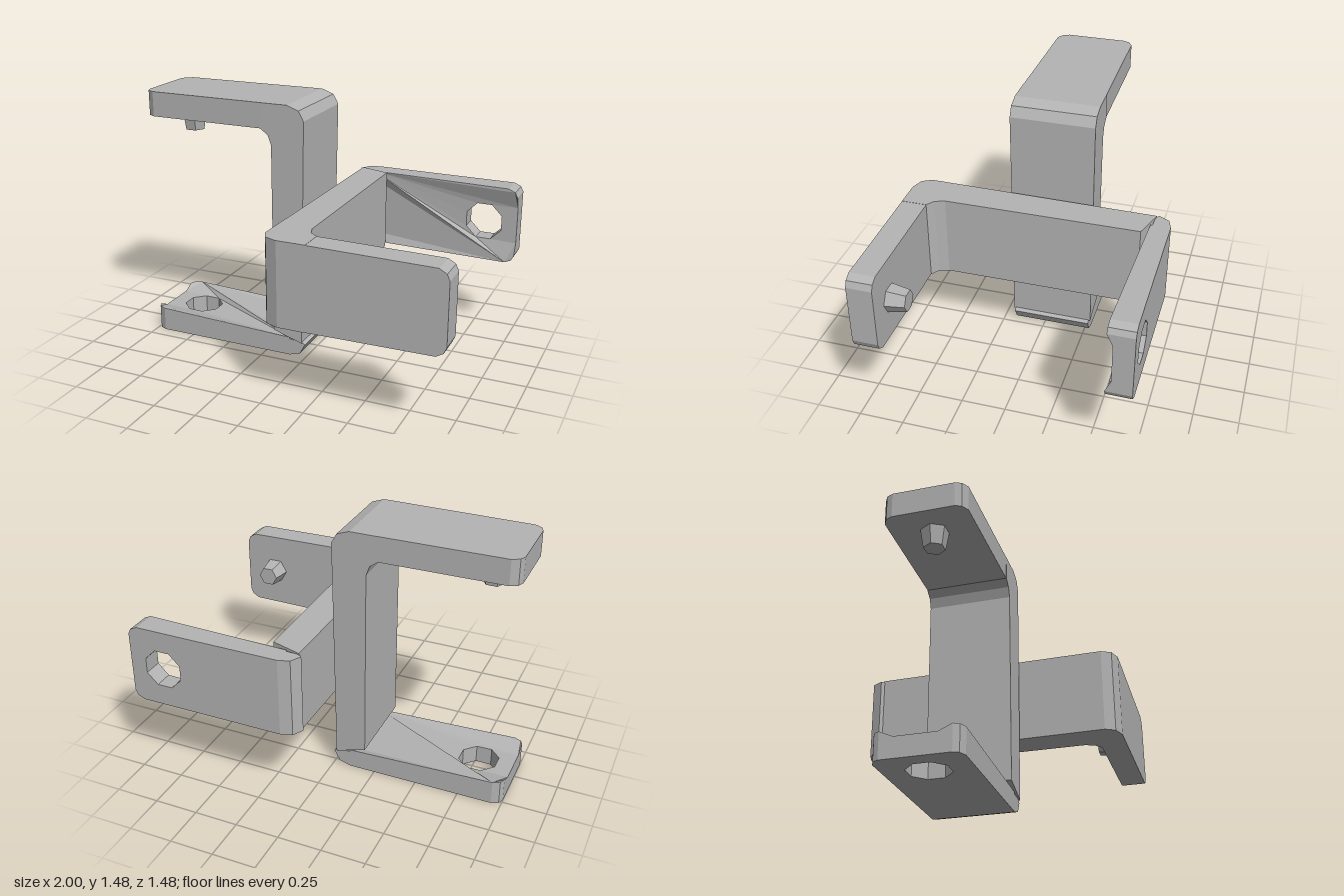
import * as THREE from 'three';

const polygon = (pts) => new THREE.Shape(pts.map(([x, y]) => new THREE.Vector2(x, y)));

// Side profile swept across the bracket's width
function across(pts, halfWidth) {
  return new THREE.ExtrudeGeometry(polygon(pts), { depth: halfWidth * 2, bevelEnabled: false })
    .translate(0, 0, -halfWidth);
}

// Plan outline (x, z), symmetric about z = 0, raised from y0 by a thickness
function slab(half, y0, thickness, hole) {
  const shape = polygon([...half, ...half.slice().reverse().map(([x, z]) => [x, -z])]);
  if (hole) shape.holes.push(hole);
  return new THREE.ExtrudeGeometry(shape, { depth: thickness, bevelEnabled: false })
    .rotateX(-Math.PI / 2).translate(0, y0, 0);
}

function createBracket(material) {
  const bracket = new THREE.Group();
  const add = (name, geometry) => {
    const mesh = new THREE.Mesh(geometry, material);
    mesh.name = name;
    bracket.add(mesh);
  };

  // Upright with rounded outer corner and filleted inner corner
  add('upright', across([
    [-0.02, 0.09], [0, 1.4], [-0.03, 1.455], [-0.1, 1.48], [-0.26, 1.48],
    [-0.26, 1.337], [-0.215, 1.305], [-0.195, 1.25], [-0.195, 0.145],
  ], 0.2375));

  // Arm carrying the peg
  add('pegArm', slab([
    [-0.26, 0.236], [-0.945, 0.228], [-0.985, 0.205], [-1, 0.17],
  ], 1.337, 0.143));

  // Six-sided tapered peg
  const peg = new THREE.CylinderGeometry(0.078, 0.06, 0.11, 6).rotateY(Math.PI / 2)
    .translate(-0.81, 1.285, 0).toNonIndexed();
  peg.computeVertexNormals();
  add('peg', peg);

  // Arm with the socket hole; its inner face is dished and thins toward the upright
  const hole = new THREE.Path();
  for (let i = 0; i < 8; i++) {
    const a = -(i + 0.5) * Math.PI / 4;
    const x = -0.8 + 0.115 * Math.cos(a), z = 0.115 * Math.sin(a);
    if (i) hole.lineTo(x, z); else hole.moveTo(x, z);
  }
  hole.closePath();
  const arm = slab([
    [-0.1, 0.17], [-0.1, 0.228], [-0.945, 0.228], [-0.985, 0.21], [-1, 0.18], [-1, 0.11],
  ], 0, 0.14, hole);
  const p = arm.attributes.position;
  for (let i = 0; i < p.count; i++) {
    if (p.getY(i) < 0.07) continue;
    const t = 1 + p.getX(i);
    p.setY(i, Math.abs(p.getZ(i)) < 0.175 ? 0.11 - 0.022 * t : 0.142 - 0.035 * t);
  }
  arm.computeVertexNormals();
  add('holeArm', arm);

  // Bent corner joining the socket arm to the upright
  add('lowerCorner', across([
    [-0.1, 0], [-0.035, 0.02], [-0.002, 0.08], [-0.02, 0.095], [-0.1, 0.1],
  ], 0.228));

  return bracket;
}

export function createModel() {
  const model = new THREE.Group();
  const grey = new THREE.MeshStandardMaterial({ color: 0xb4b4b4 });
  grey.name = 'grey';

  // Vertical bracket opening to the right
  const vertical = createBracket(grey);
  vertical.name = 'verticalBracket';
  vertical.position.set(0, 0, -0.0525);

  // The same bracket laid on its side, opening to the left
  const horizontal = createBracket(grey);
  horizontal.name = 'horizontalBracket';
  horizontal.quaternion.setFromAxisAngle(new THREE.Vector3(0, 1, 1).normalize(), Math.PI);
  horizontal.position.set(0, 0.6925, -0.742);

  model.add(vertical, horizontal);
  return model;
}
